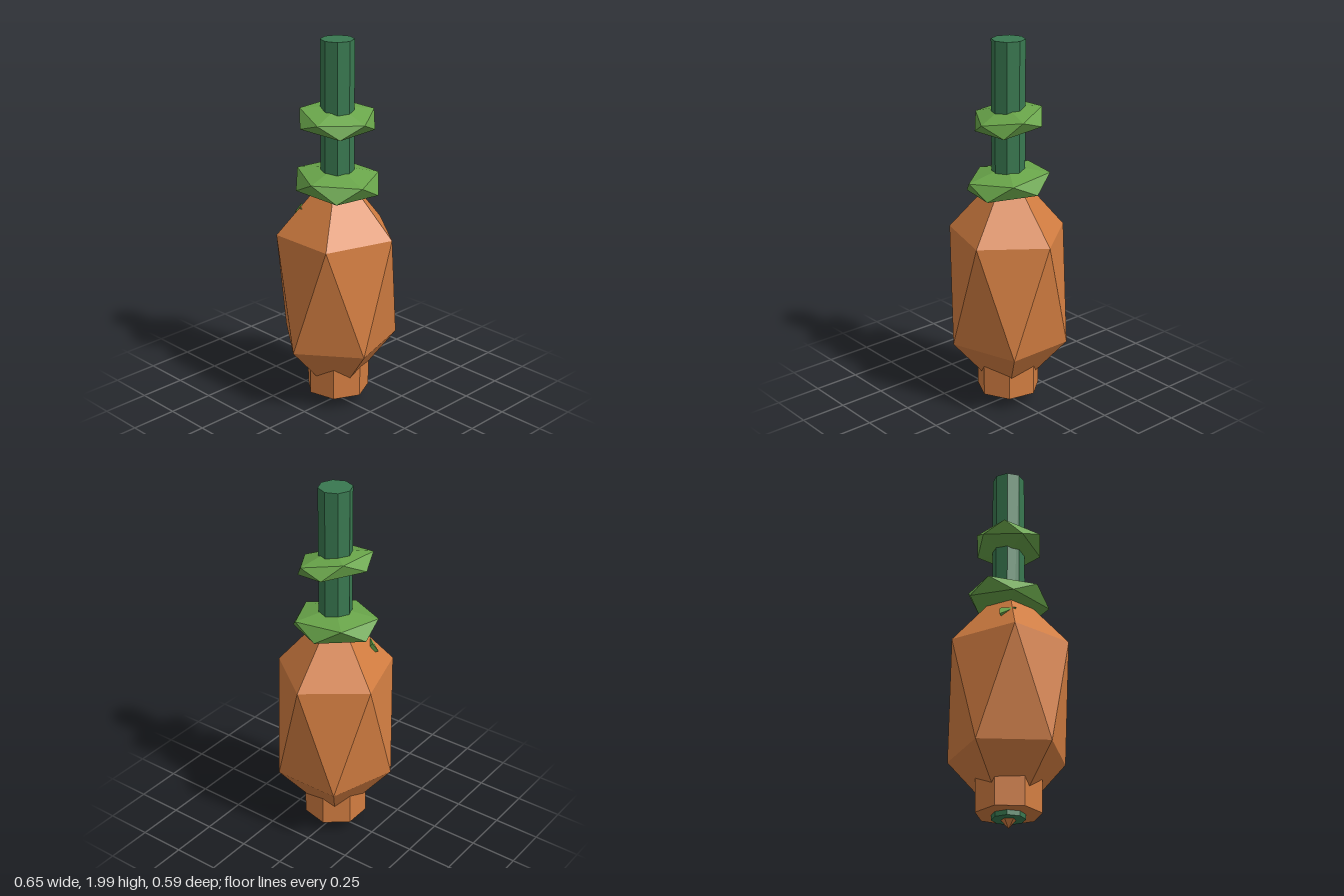
import * as THREE from 'three';
import { ConvexGeometry } from 'three/addons/geometries/ConvexGeometry.js';

const mat = (name, color) => {
  const m = new THREE.MeshStandardMaterial({ color, flatShading: true });
  m.name = name;
  return m;
};

export function createModel() {
  const group = new THREE.Group();
  const orange = mat('carrot orange', 0xd27d41);
  const stemGreen = mat('stem green', 0x397850);
  const leafGreen = mat('leaf green', 0x69a54a);

  const add = (name, geometry, material, y = 0) => {
    const mesh = new THREE.Mesh(geometry, material);
    mesh.name = name;
    mesh.position.y = y;
    group.add(mesh);
    return mesh;
  };

  // Stretched faceted solid: two staggered five-point rings between two
  // apexes; the lower half mirrors the upper half through the centre.
  const facetedSolid = (ring) => {
    const upper = ring.map(([x, y, z]) => new THREE.Vector3(x, y, z));
    const apex = new THREE.Vector3();
    upper.forEach((p) => apex.add(p));
    apex.multiplyScalar(Math.sqrt(5) / 5);
    const half = [...upper, apex];
    return new ConvexGeometry([...half, ...half.map((p) => p.clone().negate())]);
  };

  // Body
  const bodyRing = [];
  for (let i = 0; i < 5; i++) {
    const a = (i * Math.PI * 2) / 5;
    bodyRing.push([0.325 * Math.cos(a), 0.3, 0.312 * Math.sin(a)]);
  }
  add('body', facetedSolid(bodyRing), orange, 0.68);

  // Seven-sided foot, partly sunk in the body
  add('foot', new THREE.CylinderGeometry(0.17, 0.17, 0.24, 7), orange, 0.2);

  // Stem running through the whole body
  add('stem', new THREE.CylinderGeometry(0.087, 0.087, 1.945, 8), stemGreen, 1.0275);

  // Tilted leaf collars
  add('upperLeafCollar', facetedSolid([
    [-0.13, 0.055, -0.14], [0.11, 0.066, -0.13], [0.195, 0.03, 0.07],
    [0.01, -0.002, 0.185], [-0.195, 0.01, 0.055],
  ]), leafGreen, 1.59);
  add('lowerLeafCollar', facetedSolid([
    [-0.045, 0.022, 0.225], [0.18, 0.038, 0.12], [0.155, 0.055, -0.15],
    [-0.085, 0.047, -0.21], [-0.207, 0.029, 0.02],
  ]), leafGreen, 1.256);

  // Small leaf tip poking out of the body at the back
  add('leafTip', new ConvexGeometry([
    [-0.137, 1.075, -0.178], [-0.112, 1.125, -0.155],
    [-0.172, 1.128, -0.092], [-0.1, 1.05, -0.1],
  ].map((p) => new THREE.Vector3(...p))), leafGreen);

  return group;
}
